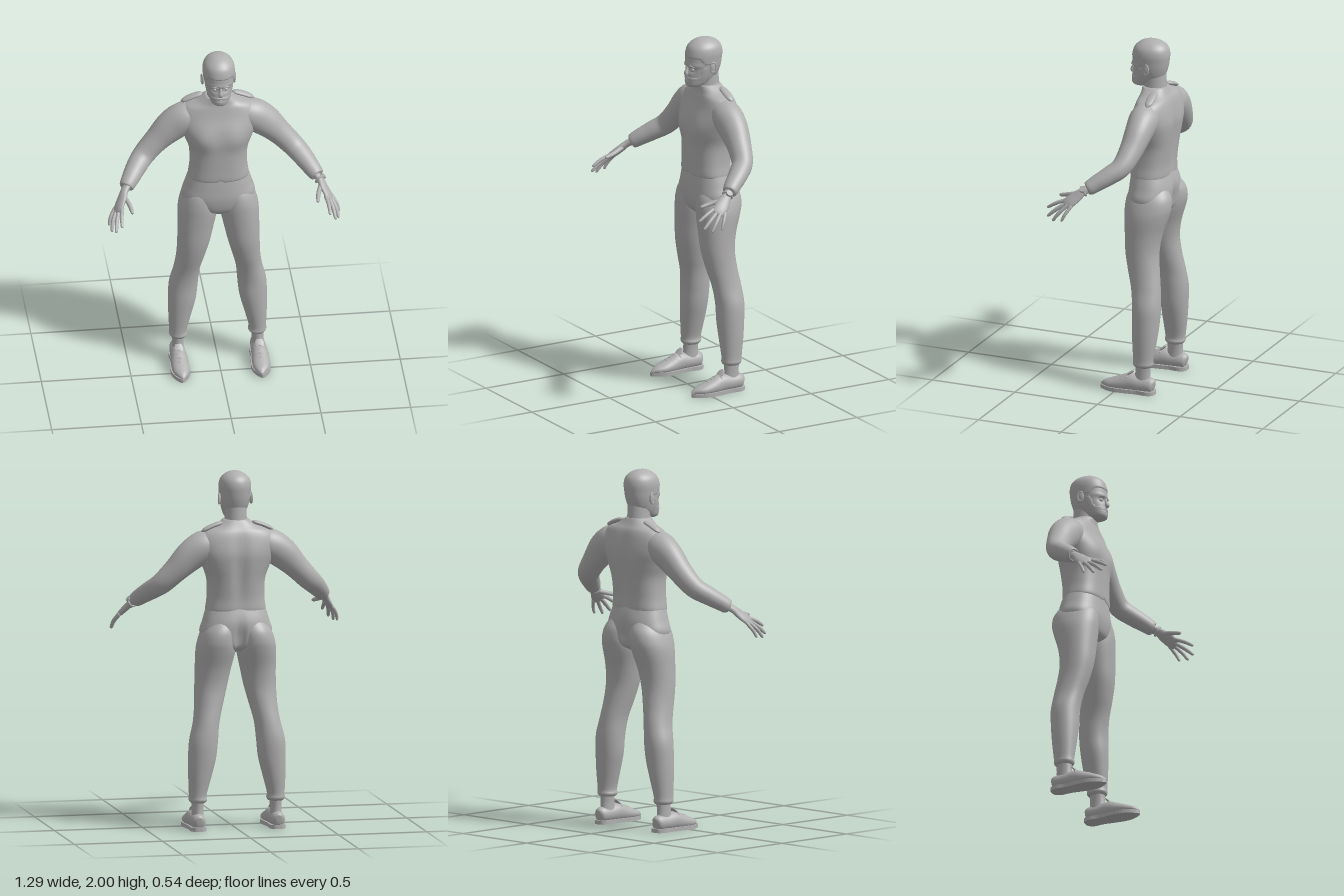
import * as THREE from 'three';

const V = (x, y, z) => new THREE.Vector3(x, y, z);
const ss = THREE.MathUtils.smoothstep;
const bump = (a, c, w) => Math.exp(-(((a - c) / w) ** 2));

// Smoothly resample rows of section values
function sample(rows, steps) {
  const out = [];
  for (let i = 0; i < rows.length - 1; i++) {
    const a = rows[Math.max(i - 1, 0)], b = rows[i], c = rows[i + 1], d = rows[Math.min(i + 2, rows.length - 1)];
    for (let k = 0; k < steps; k++) {
      const t = k / steps;
      out.push(b.map((v, n) => v + 0.5 * t * (c[n] - a[n] + t * (2 * a[n] - 5 * v + 4 * c[n] - d[n] + t * (3 * (v - c[n]) + d[n] - a[n])))));
    }
  }
  out.push(rows[rows.length - 1]);
  return out;
}

// Skin a list of rings, closing both ends
function skin(rings) {
  const n = rings[0].length, pos = [], idx = [];
  rings.forEach(r => r.forEach(p => pos.push(p.x, p.y, p.z)));
  for (let i = 0; i < rings.length - 1; i++) for (let j = 0; j < n; j++) {
    const a = i * n + j, b = i * n + (j + 1) % n;
    idx.push(a, a + n, b, b, a + n, b + n);
  }
  [0, rings.length - 1].forEach((r, end) => {
    const c = V(0, 0, 0), at = pos.length / 3;
    rings[r].forEach(p => c.addScaledVector(p, 1 / n));
    pos.push(c.x, c.y, c.z);
    for (let j = 0; j < n; j++) {
      const a = r * n + j, b = r * n + (j + 1) % n;
      end ? idx.push(at, b, a) : idx.push(at, a, b);
    }
  });
  const g = new THREE.BufferGeometry();
  g.setAttribute('position', new THREE.Float32BufferAttribute(pos, 3));
  g.setIndex(idx);
  g.computeVertexNormals();
  return g;
}

// Vertical stack of sections: [y, centre x, half width, front z, back z]
function stack(rows, { seg = 40, steps = 5, power = 2, warp = () => {} } = {}) {
  const f = v => Math.sign(v) * Math.abs(v) ** (2 / power);
  return skin(sample(rows, steps).map(([y, cx, rx, zf, zb]) => Array.from({ length: seg }, (_, j) => {
    const t = j / seg * Math.PI * 2;
    const p = V(cx + rx * f(Math.cos(t)), y, (zf + zb) / 2 + (zf - zb) / 2 * f(Math.sin(t)));
    warp(p);
    return p;
  })));
}

// Limb along a path: [x, y, z, half width along side, half thickness]
function limb(rows, side, { seg = 20, steps = 5, warp = () => {} } = {}) {
  const pts = sample(rows, steps), at = i => V(...pts[i].slice(0, 3));
  return skin(pts.map(([x, y, z, a, b], i) => {
    const t = at(Math.min(i + 1, pts.length - 1)).sub(at(Math.max(i - 1, 0))).normalize();
    const u = side.clone().addScaledVector(t, -side.dot(t)).normalize(), v = u.clone().cross(t);
    return Array.from({ length: seg }, (_, j) => {
      const q = j / seg * Math.PI * 2;
      const p = V(x, y, z).addScaledVector(u, a * Math.cos(q)).addScaledVector(v, b * Math.sin(q));
      warp(p);
      return p;
    });
  }));
}

export function createModel() {
  const model = new THREE.Group();
  const grey = new THREE.MeshStandardMaterial({ color: 0xb0b0b0 });
  grey.name = 'plain grey';
  const add = (name, geo) => {
    const m = new THREE.Mesh(geo, grey);
    m.name = name;
    model.add(m);
    return m;
  };

  // Shirt, with chest muscles and a groove along the spine
  add('shirt', stack([
    [1.222, 0, 0.155, -0.02, -0.215], [1.23, 0, 0.168, -0.007, -0.232], [1.3, 0, 0.16, -0.006, -0.235],
    [1.4, 0, 0.163, -0.005, -0.248], [1.48, 0, 0.19, -0.003, -0.258], [1.55, 0, 0.215, -0.015, -0.262],
    [1.62, 0, 0.222, -0.04, -0.25], [1.67, 0, 0.19, -0.055, -0.235], [1.7, 0, 0.12, -0.062, -0.215], [1.735, 0, 0.068, -0.062, -0.195],
  ], {
    seg: 64, power: 2.4, warp: p => {
      if (p.z > -0.1) p.z += 0.012 * bump(Math.abs(p.x), 0.09, 0.06) * bump(p.y, 1.5, 0.07);
      else p.z += 0.018 * bump(p.x, 0, 0.035) * bump(p.y, 1.45, 0.18);
      if (p.y < 1.24 && p.z > -0.1) p.y += 0.012 * bump(p.x, 0, 0.012);
    },
  }));

  // Trousers: hips with a rear crease
  add('trouserHips', stack([
    [0.995, 0, 0.06, -0.05, -0.19], [1.03, 0, 0.15, -0.015, -0.235], [1.1, 0, 0.202, -0.001, -0.25],
    [1.17, 0, 0.186, -0.004, -0.25], [1.25, 0, 0.162, -0.013, -0.226],
  ], {
    seg: 64, power: 2.3,
    warp: p => { if (p.z < -0.15) p.z += 0.03 * bump(p.x, 0, 0.022) * bump(p.y, 1.07, 0.08); },
  }));

  // Neck
  add('neck', stack([[1.66, 0, 0.072, -0.06, -0.2], [1.73, 0, 0.062, -0.062, -0.195], [1.82, 0, 0.062, -0.05, -0.19]]));

  // Head, with eye sockets and cheekbones
  const headRows = [
    [1.727, 0, 0.026, -0.012, -0.08], [1.74, 0, 0.047, 0.002, -0.11], [1.77, 0, 0.062, 0.006, -0.165],
    [1.8, 0, 0.072, 0.002, -0.185], [1.84, 0, 0.08, 0, -0.198], [1.88, 0, 0.084, 0.002, -0.205], [1.92, 0, 0.086, -0.003, -0.208],
    [1.955, 0, 0.078, -0.015, -0.2], [1.98, 0, 0.057, -0.04, -0.178], [1.995, 0, 0.03, -0.07, -0.145], [2, 0, 0.005, -0.1, -0.11],
  ];
  add('head', stack(headRows, {
    seg: 64, power: 2.1, warp: p => {
      if (p.y > 1.94) p.y -= 0.006;
      if (p.z > -0.06) p.z += 0.006 * bump(p.y, 1.857, 0.01) - 0.014 * bump(Math.abs(p.x), 0.031, 0.018) * bump(p.y, 1.832, 0.014);
    },
  }));
  const shell = (p, k) => { p.x *= k; p.z = -0.1 + (p.z + 0.1) * k; };

  // Short hair, raised above the hairline and sunk into the head below it
  add('hair', stack(headRows.slice(2), {
    seg: 64, steps: 8, power: 2.1, warp: p => {
      const line = 1.775 + 0.085 * ss(p.z, -0.15, -0.1) + 0.037 * ss(p.z, -0.07, -0.03);
      shell(p, 0.93 + 0.105 * ss(p.y, line - 0.005, line + 0.006));
    },
  }));

  // Rough beard along the jaw and around the mouth
  add('beard', stack(headRows.slice(0, 6), {
    seg: 72, steps: 8, power: 2.1, warp: p => {
      const line = 1.79 + 0.06 * (1 - ss(p.z, -0.065, -0.035));
      const mask = (1 - ss(p.y, line - 0.006, line + 0.006)) * ss(p.z, -0.1, -0.075);
      const mouth = p.z > -0.04 ? bump(p.x, 0, 0.022) * bump(p.y, 1.77, 0.007) : 0;
      const rough = 0.012 * Math.sin(p.x * 460) * Math.sin(p.y * 520 + p.z * 300);
      shell(p, 0.94 + mask * (0.085 + rough) - 0.05 * mouth);
    },
  }));

  // Nose and lips
  add('nose', limb([[0, 1.855, -0.006, 0.006, 0.006], [0, 1.83, 0.001, 0.009, 0.01], [0, 1.808, 0.008, 0.014, 0.012], [0, 1.797, 0.004, 0.011, 0.008], [0, 1.793, -0.002, 0.004, 0.004]], V(1, 0, 0)));
  for (const y of [1.767, 1.773]) {
    add('lip', limb([[-0.022, y, -0.006, 0.001, 0.001], [0, y, 0.005, 0.004, 0.004], [0.022, y, -0.006, 0.001, 0.001]], V(0, 1, 0), { seg: 10 }));
  }

  for (const s of [1, -1]) {
    const which = s > 0 ? 'left' : 'right';
    const part = (name, geo) => add(which + name, geo);
    const mir = rows => rows.map(([x, ...r]) => [x * s, ...r]);
    const path = (rows, side, o) => limb(mir(rows), V(side[0] * s, side[1], side[2]), o);
    const tower = (rows, o) => stack(rows.map(([y, x, ...r]) => [y, x * s, ...r]), o);

    // Eye, brow and ear
    const eye = part('Eye', new THREE.SphereGeometry(0.011, 16, 12));
    eye.position.set(0.031 * s, 1.832, -0.018);
    part('Brow', path([[0.012, 1.85, 0.003, 0.002, 0.002], [0.032, 1.855, -0.001, 0.005, 0.004], [0.054, 1.849, -0.017, 0.002, 0.002]], [0, 1, 0], { seg: 10 }));
    const ear = part('Ear', new THREE.SphereGeometry(1, 16, 12));
    ear.scale.set(0.008, 0.031, 0.017);
    ear.position.set(0.087 * s, 1.845, -0.112);
    const rim = part('EarRim', new THREE.TorusGeometry(0.02, 0.0045, 8, 24));
    rim.scale.set(0.8, 1.4, 1);
    rim.rotation.y = Math.PI / 2 - 0.25 * s;
    rim.position.set(0.091 * s, 1.846, -0.113);

    // Trouser leg
    part('TrouserLeg', tower([
      [0.155, 0.22, 0.042, -0.105, -0.2], [0.17, 0.22, 0.051, -0.095, -0.211], [0.2, 0.221, 0.049, -0.096, -0.211],
      [0.3, 0.21, 0.064, -0.088, -0.225], [0.4, 0.198, 0.077, -0.082, -0.235], [0.5, 0.19, 0.08, -0.08, -0.24],
      [0.6, 0.173, 0.073, -0.065, -0.232], [0.7, 0.154, 0.079, -0.038, -0.217], [0.8, 0.139, 0.09, -0.018, -0.208],
      [0.9, 0.127, 0.1, -0.01, -0.222], [1, 0.115, 0.11, -0.004, -0.254], [1.06, 0.11, 0.104, -0.003, -0.268],
      [1.12, 0.1, 0.092, -0.012, -0.262], [1.18, 0.085, 0.065, -0.04, -0.225],
    ], { power: 2.1 }));

    // Ankle and shoe
    part('Ankle', tower([[0.05, 0.222, 0.034, -0.1, -0.2], [0.12, 0.222, 0.032, -0.108, -0.195], [0.19, 0.22, 0.036, -0.108, -0.2]]));
    part('ShoeUpper', path([
      [0.225, 0.05, -0.222, 0.015, 0.025], [0.225, 0.052, -0.205, 0.037, 0.042], [0.225, 0.052, -0.14, 0.043, 0.046],
      [0.225, 0.055, -0.08, 0.046, 0.052], [0.225, 0.045, -0.03, 0.049, 0.044], [0.223, 0.035, 0.03, 0.047, 0.031],
      [0.22, 0.03, 0.07, 0.031, 0.02], [0.219, 0.022, 0.1, 0.006, 0.006],
    ], [1, 0, 0], { seg: 28, warp: p => { p.y = Math.max(p.y, 0.012); } }));
    const outline = [[0, 0.105], [0.033, 0.07], [0.052, 0.02], [0.05, -0.06], [0.042, -0.13], [0.045, -0.19], [0.027, -0.221]];
    const loop = [...outline, [0, -0.226], ...outline.slice(1).reverse().map(([x, z]) => [-x, z])];
    const curve = new THREE.CatmullRomCurve3(loop.map(([x, z]) => V(x, -z, 0)), true);
    const shape = new THREE.Shape(curve.getPoints(56).map(p => new THREE.Vector2(p.x, p.y)));
    const sole = part('Sole', new THREE.ExtrudeGeometry(shape, { depth: 0.022, bevelEnabled: false }).rotateX(-Math.PI / 2));
    sole.position.x = 0.224 * s;
    part('ShoeTongue', path([[0.225, 0.08, -0.05, 0.02, 0.006], [0.225, 0.11, -0.08, 0.027, 0.007], [0.225, 0.128, -0.098, 0.018, 0.005]], [1, 0, 0]));
    for (const z of [-0.07, -0.045, -0.02, 0.005]) {
      const y = 0.079 - 0.4 * z;
      part('Lace', path([[0.19, y - 0.018, z, 0.004, 0.004], [0.225, y, z, 0.004, 0.004], [0.26, y - 0.018, z, 0.004, 0.004]], [0, 0, 1], { seg: 8 }));
    }

    // Sleeve, shoulder patch and bare wrist
    part('Sleeve', path([
      [0.1, 1.6, -0.14, 0.07, 0.07], [0.18, 1.587, -0.142, 0.085, 0.09], [0.26, 1.535, -0.141, 0.077, 0.088],
      [0.34, 1.458, -0.132, 0.066, 0.07], [0.415, 1.382, -0.107, 0.057, 0.062], [0.465, 1.337, -0.052, 0.052, 0.057],
      [0.505, 1.298, 0.005, 0.046, 0.049], [0.53, 1.272, 0.04, 0.04, 0.041], [0.534, 1.268, 0.046, 0.026, 0.026],
    ], [0.5, 0, 1], { seg: 32, steps: 6 }));
    part('ShoulderPatch', path([[0.083, 1.722, -0.167, 0.004, 0.003], [0.1, 1.717, -0.167, 0.02, 0.011], [0.145, 1.702, -0.167, 0.024, 0.012], [0.185, 1.683, -0.167, 0.02, 0.011], [0.203, 1.672, -0.167, 0.004, 0.003]], [0, 0, 1]));
    part('Palm', path([
      [0.52, 1.28, 0.03, 0.028, 0.023], [0.545, 1.257, 0.065, 0.026, 0.019], [0.563, 1.227, 0.1, 0.036, 0.018],
      [0.581, 1.2, 0.13, 0.039, 0.016], [0.591, 1.182, 0.153, 0.033, 0.011], [0.594, 1.176, 0.16, 0.015, 0.005],
    ], [-0.43, 0.29, 0.83]));

    // Fingers and thumb: base, middle, tip, radius
    const digits = {
      Thumb: [[0.55, 1.242, 0.085], [0.527, 1.222, 0.155], [0.516, 1.205, 0.222], 0.0125],
      IndexFinger: [[0.566, 1.203, 0.155], [0.577, 1.178, 0.215], [0.58, 1.146, 0.268], 0.0105],
      MiddleFinger: [[0.583, 1.19, 0.148], [0.602, 1.15, 0.205], [0.612, 1.106, 0.255], 0.011],
      RingFinger: [[0.596, 1.184, 0.136], [0.621, 1.138, 0.18], [0.632, 1.09, 0.215], 0.0105],
      LittleFinger: [[0.603, 1.182, 0.112], [0.63, 1.14, 0.138], [0.641, 1.097, 0.158], 0.0095],
    };
    for (const [name, [a, b, c, r]] of Object.entries(digits)) {
      const near = c.map((v, i) => v + (b[i] - v) * 0.15);
      part(name, path([[...a, r, r], [...b, r, r], [...near, r * 0.75, r * 0.75], [...c, r * 0.2, r * 0.2]], [-0.43, 0.29, 0.83], { seg: 12 }));
    }
  }

  // Watch on the left wrist
  const along = V(0.025, -0.023, 0.035).normalize();
  const strap = add('watchStrap', new THREE.TorusGeometry(0.027, 0.006, 8, 28));
  strap.position.set(0.545, 1.257, 0.065);
  strap.quaternion.setFromUnitVectors(V(0, 0, 1), along);
  const out = V(0.75, 0.65, 0).addScaledVector(along, -V(0.75, 0.65, 0).dot(along)).normalize();
  const dial = add('watchDial', new THREE.CylinderGeometry(0.017, 0.019, 0.012, 24));
  dial.position.copy(strap.position).addScaledVector(out, 0.026);
  dial.quaternion.setFromUnitVectors(V(0, 1, 0), out);
  return model;
}
